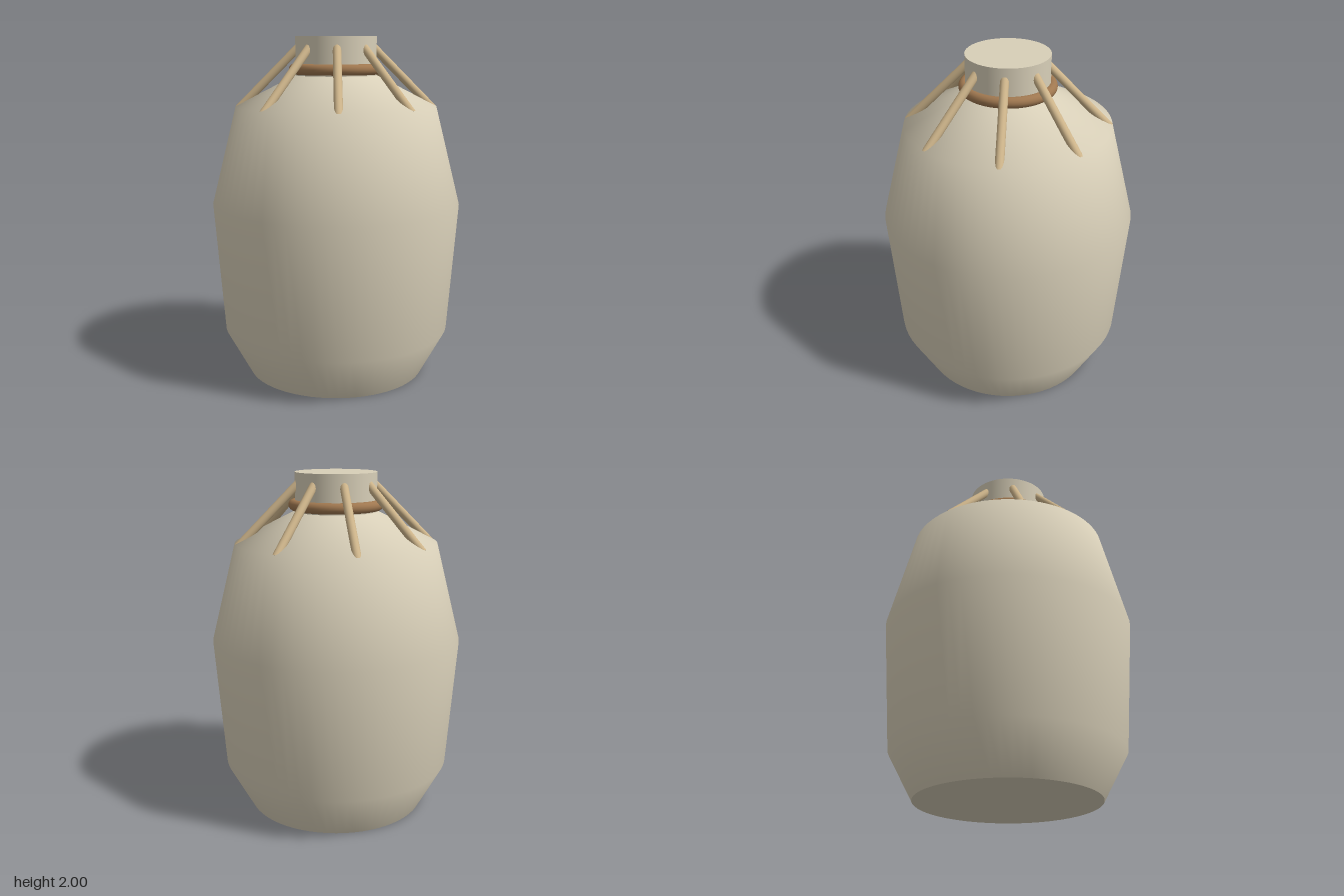
import * as THREE from 'three';

export function createModel() {
  const group = new THREE.Group();
  const clay = new THREE.MeshStandardMaterial({ color: 0xd8cfb8 });
  const leather = new THREE.MeshStandardMaterial({ color: 0xa07850 });
  const wood = new THREE.MeshStandardMaterial({ color: 0xcdb48a });

  const add = (name, geometry, material, parent = group) => {
    const mesh = new THREE.Mesh(geometry, material);
    mesh.name = name;
    parent.add(mesh);
    return mesh;
  };

  // Jar body: smooth-shaded turned profile
  const profile = [[0.53, 0], [0.675, 0.27], [0.732, 1.03], [0.587, 1.6], [0.24, 1.777]];
  add('body', new THREE.LatheGeometry(profile.map(([r, y]) => new THREE.Vector2(r, y)), 64), clay);

  // Flat underside and the small ledge under the neck
  add('base', new THREE.CircleGeometry(0.53, 64).rotateX(Math.PI / 2), clay);
  add('shoulderTop', new THREE.CircleGeometry(0.24, 64).rotateX(-Math.PI / 2).translate(0, 1.777, 0), clay);

  // Closed neck
  add('neck', new THREE.CylinderGeometry(0.236, 0.236, 0.24, 64).translate(0, 1.88, 0), clay);

  // Binding around the foot of the neck
  add('neckRing', new THREE.TorusGeometry(0.243, 0.031, 16, 64).rotateX(Math.PI / 2).translate(0, 1.814, 0), leather);

  // Eight slanting struts from neck to shoulder
  const top = new THREE.Vector3(0.205, 1.95, 0);
  const foot = new THREE.Vector3(0.57, 1.585, 0);
  const axis = top.clone().sub(foot);
  const strutGeometry = new THREE.CylinderGeometry(0.024, 0.024, axis.length(), 16);
  const struts = new THREE.Group();
  struts.name = 'struts';
  group.add(struts);
  for (let i = 0; i < 8; i++) {
    const pivot = new THREE.Group();
    pivot.name = 'strutPivot';
    pivot.rotation.y = (i * Math.PI) / 4;
    const strut = add('strut', strutGeometry, wood, pivot);
    strut.position.copy(top).add(foot).multiplyScalar(0.5);
    strut.quaternion.setFromUnitVectors(new THREE.Vector3(0, 1, 0), axis.clone().normalize());
    struts.add(pivot);
  }

  return group;
}
